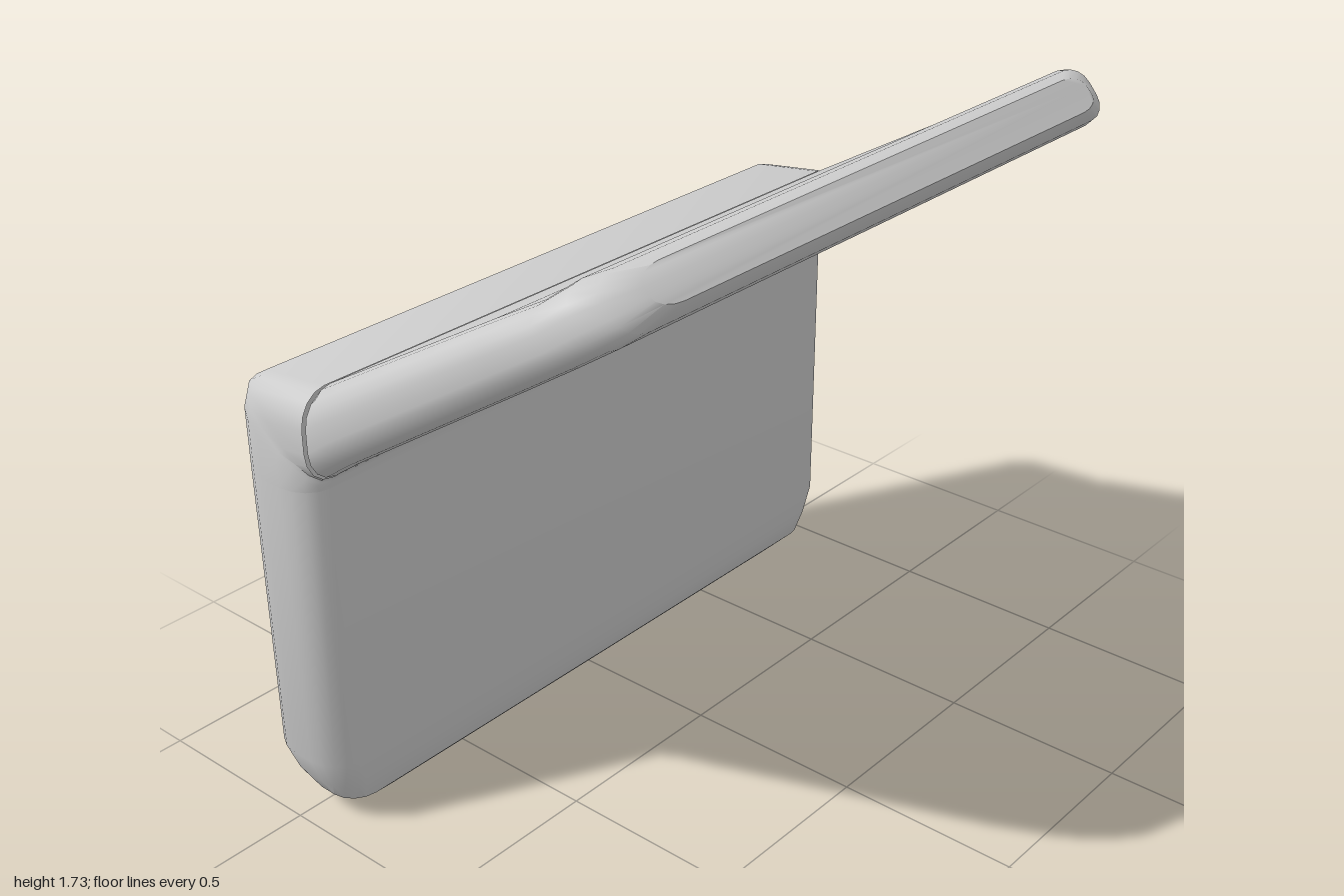
import * as THREE from 'three';
import { toCreasedNormals } from 'three/addons/utils/BufferGeometryUtils.js';

const STEPS = 4; // segments per rounded corner

// Rounded-rectangle ring spanning front point to back point, half width w along x.
// section = [frontZ, frontY, backZ, backY, w]
function ring([fz, fy, bz, by, w]) {
  const mz = (fz + bz) / 2, my = (fy + by) / 2, hz = (bz - fz) / 2, hy = (by - fy) / 2;
  const rx = 0.075, rt = 0.75; // corner radius across, and as a share of half thickness
  const points = [];
  for (let q = 0; q < 4; q++) {
    const sx = q === 0 || q === 3 ? 1 : -1, sv = q < 2 ? 1 : -1;
    for (let i = 0; i <= STEPS; i++) {
      const a = (q + i / STEPS) * Math.PI / 2;
      const x = sx * (w - rx) + rx * Math.cos(a);
      const v = sv * (1 - rt) + rt * Math.sin(a);
      points.push([x, my + hy * v, mz + hz * v]);
    }
  }
  return points;
}

// Skin a row of sections, optionally closing the first or last one
function loft(name, sections, capStart, capEnd) {
  const n = 4 * (STEPS + 1), positions = [], index = [];
  sections.forEach(s => ring(s).forEach(p => positions.push(...p)));
  for (let i = 0; i < sections.length - 1; i++) {
    for (let j = 0; j < n; j++) {
      const a = i * n + j, b = i * n + (j + 1) % n;
      index.push(a, b, b + n, a, b + n, a + n);
    }
  }
  const last = (sections.length - 1) * n;
  for (let j = 1; j < n - 1; j++) {
    if (capStart) index.push(0, j + 1, j);
    if (capEnd) index.push(last, last + j, last + j + 1);
  }
  const geometry = new THREE.BufferGeometry();
  geometry.setAttribute('position', new THREE.Float32BufferAttribute(positions, 3));
  geometry.setIndex(index);
  const material = new THREE.MeshStandardMaterial({ color: 0xcccccc, side: THREE.DoubleSide });
  const mesh = new THREE.Mesh(toCreasedNormals(geometry, 0.65), material);
  mesh.name = name;
  return mesh;
}

export function createModel() {
  const group = new THREE.Group();
  group.name = 'foldedPanel';

  const hingeBase = [-0.345, 0.985, -0.595, 0.985, 1.0];
  const hingeEnd = [-0.34, 1.015, -0.338, 1.252, 0.995];

  // Upright pad with a rounded lower edge
  group.add(loft('uprightPad', [
    [-0.44, 0.004, -0.49, 0.004, 0.77],
    [-0.40, 0.025, -0.525, 0.025, 0.85],
    [-0.36, 0.065, -0.56, 0.065, 0.935],
    [-0.352, 0.12, -0.585, 0.12, 0.965],
    [-0.347, 0.2, -0.595, 0.2, 0.995],
    hingeBase,
  ], true, false));

  // Bend: sections fan out around the inner crease
  group.add(loft('bend', [
    hingeBase,
    [-0.344, 0.997, -0.595, 1.165, 1.0],
    [-0.343, 1.002, -0.585, 1.205, 0.995],
    [-0.342, 1.006, -0.55, 1.226, 0.99],
    hingeEnd,
  ], false, false));

  // Sloping pad, tapering to a rounded outer edge
  group.add(loft('slopingPad', [
    [-0.34, 1.015, -0.338, 1.245, 0.985],
    [-0.24, 1.085, -0.32, 1.262, 0.992],
    [0.33, 1.455, 0.24, 1.587, 1.0],
    [0.46, 1.54, 0.37, 1.66, 0.985],
    [0.535, 1.59, 0.44, 1.715, 0.955],
    [0.578, 1.625, 0.485, 1.735, 0.91],
    [0.598, 1.67, 0.53, 1.738, 0.83],
  ], false, true));

  return group;
}
